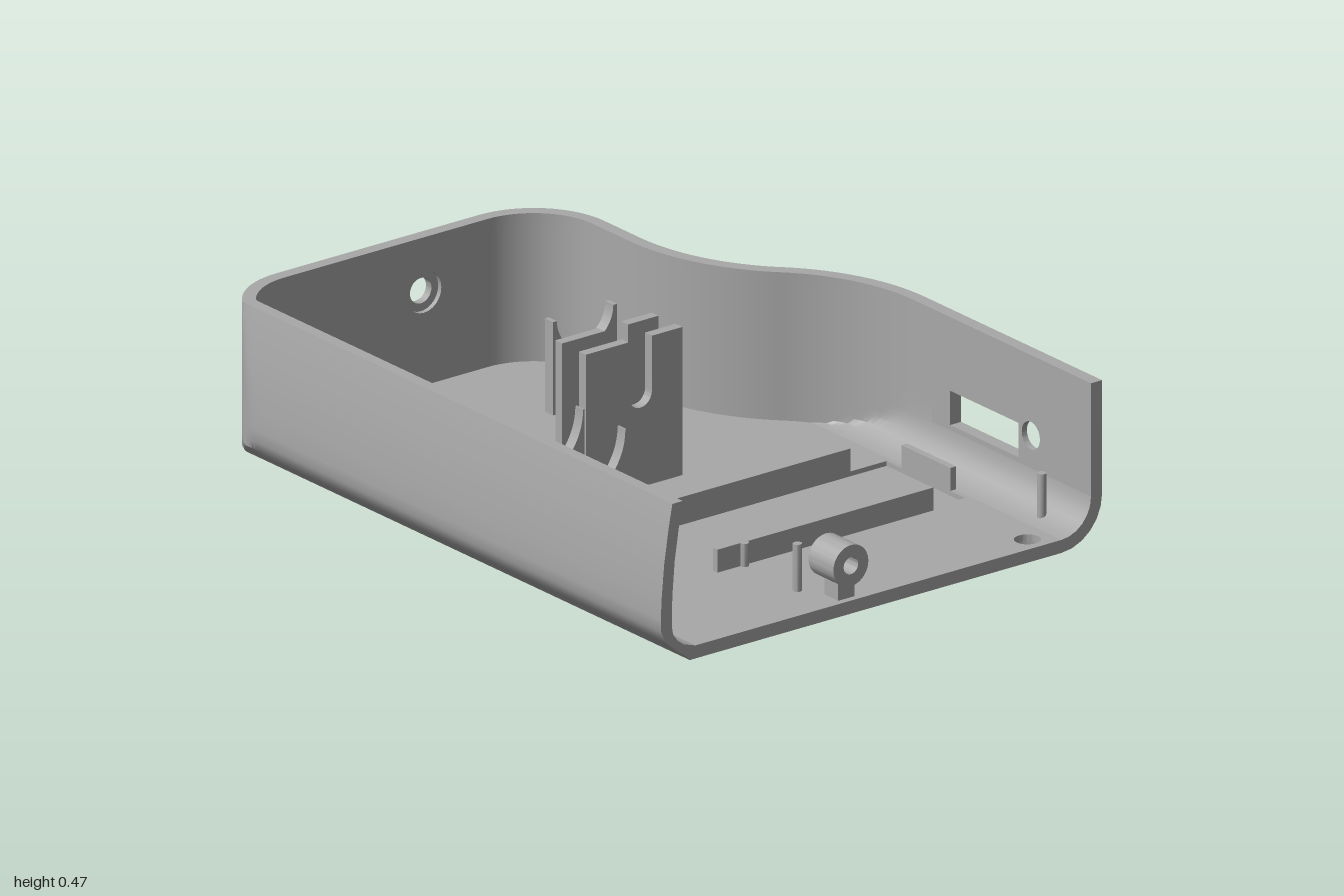
import * as THREE from 'three';
import { toCreasedNormals } from 'three/addons/utils/BufferGeometryUtils.js';

const H = 0.47, WALL = 0.038, FLAT = 0.14; // rim height, wall thickness, start of flat walls
const FLAT_ROW = 6;

// Plan outline, inset by t, from the back right round the left end to the front right
function plan(t) {
  const pts = [[1, -0.76 + t], [0.3, -0.76 + t]];
  const arc = (cx, cz, r, a0, a1, n) => {
    for (let i = 0; i <= n; i++) {
      const a = THREE.MathUtils.degToRad(a0 + (a1 - a0) * i / n);
      pts.push([cx + r * Math.cos(a), cz + r * Math.sin(a)]);
    }
  };
  arc(0.22, -0.18, 0.58 - t, -90, -135, 20);
  arc(-0.6, -1.0, 0.58 + t, 45, 90, 20);
  arc(-0.76, -0.18, 0.24 - t, -90, -180, 16);
  pts.push([-1 + t, -0.1], [-1 + t, 0.2]);
  arc(-0.76, 0.52, 0.24 - t, 180, 90, 24);
  pts.push([1, 0.76 - t]);
  return pts;
}

// Front wall profile as [y, z], read by linear interpolation
const FRONT_OUT = [[0, 0.66], [0.02, 0.68], [0.06, 0.735], [0.09, 0.757], [0.13, 0.76], [0.2, 0.757], [0.3, 0.748], [0.4, 0.733], [H, 0.72]];
const FRONT_IN = [[WALL, 0.64], [0.05, 0.68], [0.075, 0.712], [0.1, 0.722], [0.2, 0.72], [0.3, 0.712], [0.4, 0.697], [H, 0.684]];
function frontZ(profile, y) {
  for (let i = 1; i < profile.length; i++) {
    const [y0, z0] = profile[i - 1], [y1, z1] = profile[i];
    if (y <= y1 + 1e-6) return z0 + (z1 - z0) * (y - y0) / (y1 - y0);
  }
  return profile[profile.length - 1][1];
}

// Rings of the body: the plan cut off by the rounded back and the shaped front at each height
function rings(t, profile) {
  const r = FLAT - t, rows = [];
  for (let i = 0; i <= FLAT_ROW; i++) {
    const a = i / FLAT_ROW * Math.PI / 2;
    rows.push([FLAT - r * Math.cos(a), -0.62 - r * Math.sin(a)]);
  }
  for (const y of [0.2, 0.25, 0.3, 0.35, 0.4, 0.435, H]) rows.push([y, -0.76 + t]);
  const outline = plan(t);
  return rows.map(([y, zMin]) => {
    const zMax = frontZ(profile, y);
    return outline.map(([x, z]) => [x, y, Math.min(zMax, Math.max(zMin, z))]);
  });
}

function shellGeometry(outer, inner) {
  const pos = [];
  const quad = (a, b, c, d) => pos.push(...a, ...b, ...c, ...a, ...c, ...d);
  const last = outer[0].length - 1, top = outer.length - 1;
  const isPanel = (j) => j === 0 || (Math.abs(outer[top][j][2] + 0.1) < 1e-6 && Math.abs(outer[top][j + 1][2] - 0.2) < 1e-6);
  for (let j = 0; j < last; j++) {
    for (let i = 0; i < top; i++) {
      if (i >= FLAT_ROW && isPanel(j)) continue; // filled by a wall panel with openings
      quad(outer[i][j], outer[i][j + 1], outer[i + 1][j + 1], outer[i + 1][j]);
      quad(inner[i][j + 1], inner[i][j], inner[i + 1][j], inner[i + 1][j + 1]);
    }
    if (!isPanel(j)) quad(outer[top][j], outer[top][j + 1], inner[top][j + 1], inner[top][j]);
  }
  // cut faces at the open right end
  for (let i = 0; i < top; i++) {
    quad(outer[i][0], outer[i + 1][0], inner[i + 1][0], inner[i][0]);
    quad(inner[i][last], inner[i + 1][last], outer[i + 1][last], outer[i][last]);
  }
  quad(outer[0][0], inner[0][0], inner[0][last], outer[0][last]);
  const g = new THREE.BufferGeometry();
  g.setAttribute('position', new THREE.Float32BufferAttribute(pos, 3));
  return g;
}

const polygon = (pts) => new THREE.Shape(pts.map(([x, y]) => new THREE.Vector2(x, y)));
const rect = (x0, y0, x1, y1) => polygon([[x0, y0], [x1, y0], [x1, y1], [x0, y1]]);
const circle = (x, y, r) => new THREE.Path().absarc(x, y, r, 0, Math.PI * 2, false);
const withHoles = (shape, ...holes) => { shape.holes.push(...holes); return shape; };

export function createModel() {
  const group = new THREE.Group();
  group.name = 'openCase';
  const grey = new THREE.MeshStandardMaterial({ color: 0xa8a8a8 });
  grey.name = 'grey plastic';

  const add = (name, geometry) => {
    const mesh = new THREE.Mesh(toCreasedNormals(geometry, 0.5), grey);
    mesh.name = name;
    group.add(mesh);
    return mesh;
  };
  const extrude = (shape, depth) => new THREE.ExtrudeGeometry(shape, { depth, bevelEnabled: false, curveSegments: 24 });
  // horizontal slab: shape in (x, -z)
  const slab = (name, shape, y0, y1) => add(name, extrude(shape, y1 - y0).rotateX(-Math.PI / 2).translate(0, y0, 0));
  // upright plate across x: shape in (z, y)
  const plate = (name, shape, x0, x1) => add(name, extrude(shape, x1 - x0).rotateY(-Math.PI / 2).translate(x1, 0, 0));
  const box = (name, x0, x1, y0, y1, z0, z1) =>
    add(name, new THREE.BoxGeometry(x1 - x0, y1 - y0, z1 - z0).translate((x0 + x1) / 2, (y0 + y1) / 2, (z0 + z1) / 2));

  // Walls
  const outer = rings(0, FRONT_OUT), inner = rings(WALL, FRONT_IN);
  add('walls', shellGeometry(outer, inner));

  // Floor in layers, with countersunk screw holes, a pocket and two grooves
  const screws = [[-0.8, -0.3], [-0.86, 0.585], [0.94, -0.55]];
  const floorShape = (ring, r) => withHoles(polygon(ring.map(([x, , z]) => [x, -z])), ...screws.map(([x, z]) => circle(x, -z, r)));
  slab('floorBottom', floorShape(outer[0], 0.055), 0, 0.018);
  slab('floorMiddle', floorShape(inner[0], 0.037), 0.018, 0.024);
  slab('floorTop', withHoles(floorShape(inner[0], 0.037),
    rect(0.25, -0.385, 0.595, 0.605),
    rect(-0.955, -0.18, -0.15, -0.155),
    rect(-0.955, -0.286, -0.15, -0.26)), 0.024, WALL);

  // Back wall panel: slot and round socket, recessed from outside
  const slot = rect(0.38, 0.155, 0.68, 0.255);
  slab; // layers below run from outside to inside
  const recess = new THREE.Path();
  recess.moveTo(0.38, 0.155);
  recess.lineTo(0.68, 0.155);
  recess.absarc(0.735, 0.235, 0.085, -2.274, 2.904, false);
  recess.lineTo(0.38, 0.255);
  recess.closePath();
  const backPanel = () => rect(0.3, FLAT, 1, H);
  add('backPanelOuter', extrude(withHoles(backPanel(), recess), 0.02).translate(0, 0, -0.76));
  add('backPanelInner', extrude(withHoles(backPanel(), slot, circle(0.735, 0.235, 0.04)), 0.018).translate(0, 0, -0.74));

  // Left end panel: round hole, recessed from inside
  const endPanel = (r) => withHoles(rect(-0.1, FLAT, 0.2, H), circle(0.04, 0.31, r));
  plate('endPanelOuter', endPanel(0.037), -1, -0.976);
  plate('endPanelInner', endPanel(0.06), -0.976, -1 + WALL);

  // Small cradles
  for (const x of [-0.59, -0.31]) {
    const s = new THREE.Shape();
    s.moveTo(-0.32, 0.03);
    s.lineTo(-0.1, 0.03);
    s.lineTo(-0.1, 0.31);
    s.lineTo(-0.113, 0.31);
    s.absarc(-0.21, 0.31, 0.097, 0, -Math.PI, true);
    s.lineTo(-0.32, 0.31);
    plate('smallCradle', s, x - 0.018, x + 0.018);
  }

  // Tall posts with a rounded slot
  for (const x of [-0.13, -0.025]) {
    const s = new THREE.Shape();
    s.moveTo(-0.105, 0.03);
    s.lineTo(0.227, 0.03);
    s.lineTo(0.227, H);
    s.lineTo(0.08, H);
    s.absarc(0.04, 0.31, 0.04, 0, -Math.PI, true);
    s.lineTo(0, H);
    s.lineTo(-0.105, H);
    plate('slottedPost', s, x - 0.015, x + 0.015);
  }

  // Large cradles joined to the front wall
  for (const x of [-0.032, 0.154]) {
    const s = new THREE.Shape();
    s.moveTo(0.228, 0.03);
    s.lineTo(0.645, 0.03);
    s.lineTo(0.725, 0.09);
    s.lineTo(0.72, 0.31);
    s.lineTo(0.6, 0.31);
    s.absarc(0.415, 0.31, 0.182, 0, -Math.PI, true);
    s.lineTo(0.228, 0.31);
    plate('largeCradle', s, x - 0.017, x + 0.017);
  }

  // Low walls round the pocket
  for (const x of [0.23, 0.595]) box('pocketSideWall', x, x + 0.02, 0.02, 0.105, -0.48, 0.263);
  box('pocketBackWall', 0.315, 0.53, 0.02, 0.105, -0.625, -0.605);
  box('pocketFrontWall', 0.315, 0.53, 0.02, 0.085, 0.385, 0.405);

  // Locating pins
  for (const [x, z, h] of [[0.617, 0.172, 0.105], [0.85, 0.172, 0.175], [0.85, -0.67, 0.175]])
    add('pin', new THREE.CylinderGeometry(0.013, 0.013, h - 0.03, 16).translate(x, (h + 0.03) / 2, z));

  // Ring on a stem at the open end
  const ring = new THREE.Shape().absarc(0.105, 0.14, 0.06, 0, Math.PI * 2, false);
  plate('ringBoss', withHoles(ring, circle(0.105, 0.14, 0.025)), 0.89, 1);
  box('ringStem', 0.92, 0.98, 0.03, 0.092, 0.077, 0.133);
  return group;
}
